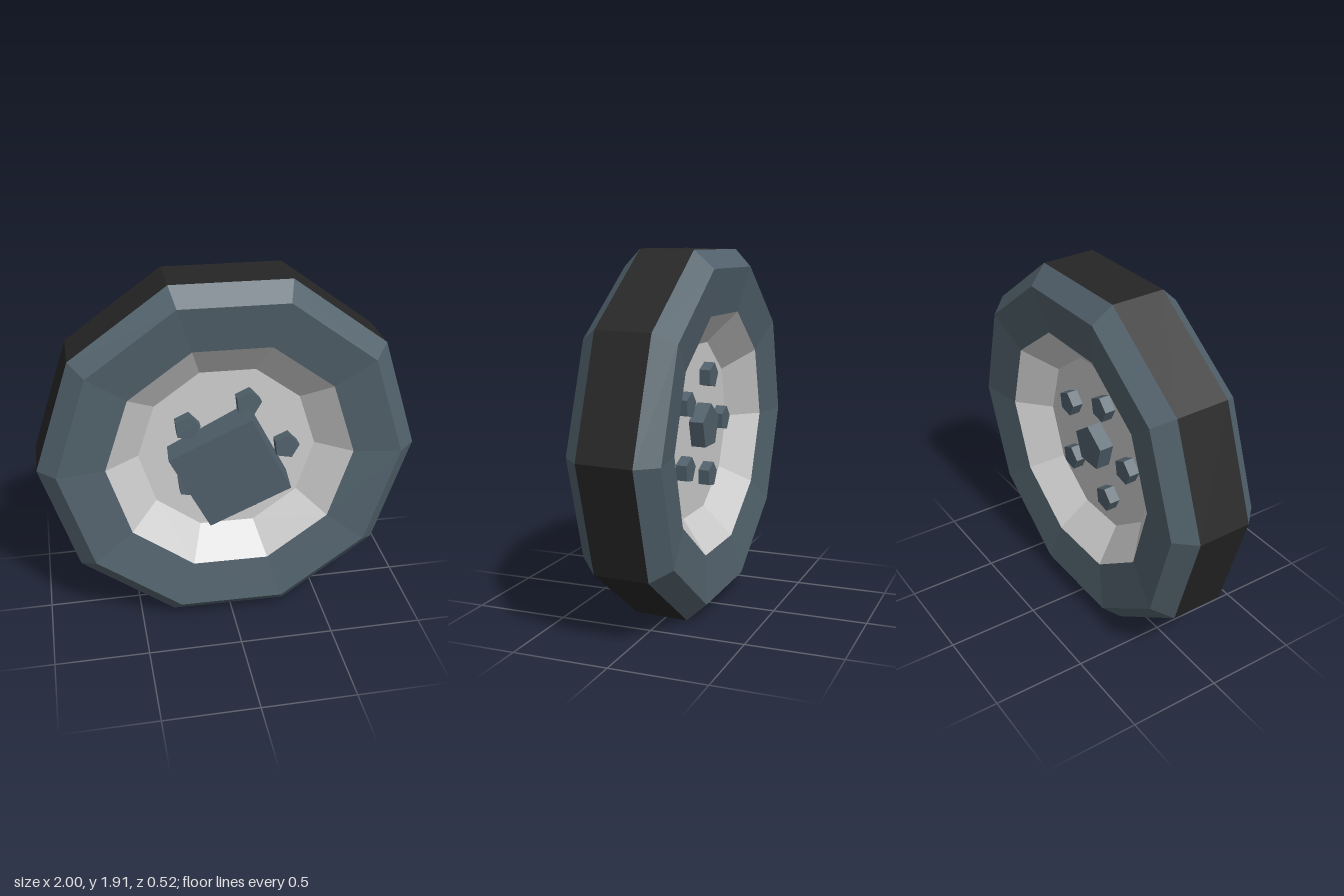
import * as THREE from 'three';

const STEEL = 0x51616b, RUBBER = 0x262626, GREY = 0xcccccc;

function addMesh(parent, name, geometry, color) {
  const mesh = new THREE.Mesh(geometry, new THREE.MeshStandardMaterial({ color, flatShading: true }));
  mesh.name = name;
  parent.add(mesh);
  return mesh;
}

// Ten-sided ring around the z axis from [radius, z] points, listed back to front on the outside
function addBand(parent, name, points, color) {
  const profile = points.map(([r, z]) => new THREE.Vector2(r, z));
  const geometry = new THREE.LatheGeometry(profile, 10, Math.PI / 2).rotateX(Math.PI / 2);
  return addMesh(parent, name, geometry, color);
}

// Five-sided prism along z with one corner at the given angle
function prism(radius, depth, cornerAngle) {
  return new THREE.CylinderGeometry(radius, radius, depth, 5, 1, false, Math.PI / 2)
    .rotateX(Math.PI / 2)
    .rotateZ(cornerAngle);
}

// Circle of five nuts, standing on the +z face of its group
function nutCircle(name, discZ) {
  const group = new THREE.Group();
  group.name = name;
  for (let i = 0; i < 5; i++) {
    const a = 0.035 + (i * Math.PI * 2) / 5;
    const nut = addMesh(group, 'wheelNut', prism(0.07, 0.08, 0.12), STEEL);
    nut.position.set(0.02 + 0.29 * Math.cos(a), 0.005 + 0.29 * Math.sin(a), discZ + 0.02);
  }
  return group;
}

export function createModel() {
  const wheel = new THREE.Group();
  wheel.name = 'wheel';

  // Tyre: tread and the two bevelled, dished sidewalls
  addBand(wheel, 'tread', [[1, -0.143], [1, 0.143]], RUBBER);
  addBand(wheel, 'backSidewall', [[0.655, -0.2], [0.905, -0.24], [1, -0.143]], STEEL);
  addBand(wheel, 'frontSidewall', [[1, 0.143], [0.905, 0.24], [0.655, 0.2]], STEEL);

  // Rim: sloping wall down to a flat disc on each side
  addBand(wheel, 'backRim', [[0, -0.05], [0.48, -0.05], [0.655, -0.2]], GREY);
  addBand(wheel, 'frontRim', [[0.655, 0.2], [0.475, 0.065], [0, 0.065]], GREY);

  // Nuts on both sides
  wheel.add(nutCircle('frontNuts', 0.065));
  const backNuts = nutCircle('backNuts', 0.05);
  backNuts.rotation.y = Math.PI;
  wheel.add(backNuts);

  // Small hub on the back, square axle block on the front
  const hub = addMesh(wheel, 'backHub', prism(0.125, 0.1, Math.PI / 2), STEEL);
  hub.position.set(-0.02, 0.02, -0.08);
  const block = addMesh(wheel, 'axleBlock', new THREE.BoxGeometry(0.48, 0.475, 0.18), STEEL);
  block.position.set(-0.003, -0.062, 0.135);
  block.rotation.set(0.02, -0.09, 0.48, 'ZYX');

  // The wheel leans back very slightly
  wheel.rotation.set(-0.024, -0.005, -0.01);
  wheel.position.y = 0.957;

  const model = new THREE.Group();
  model.name = 'wheelModel';
  model.add(wheel);
  return model;
}
